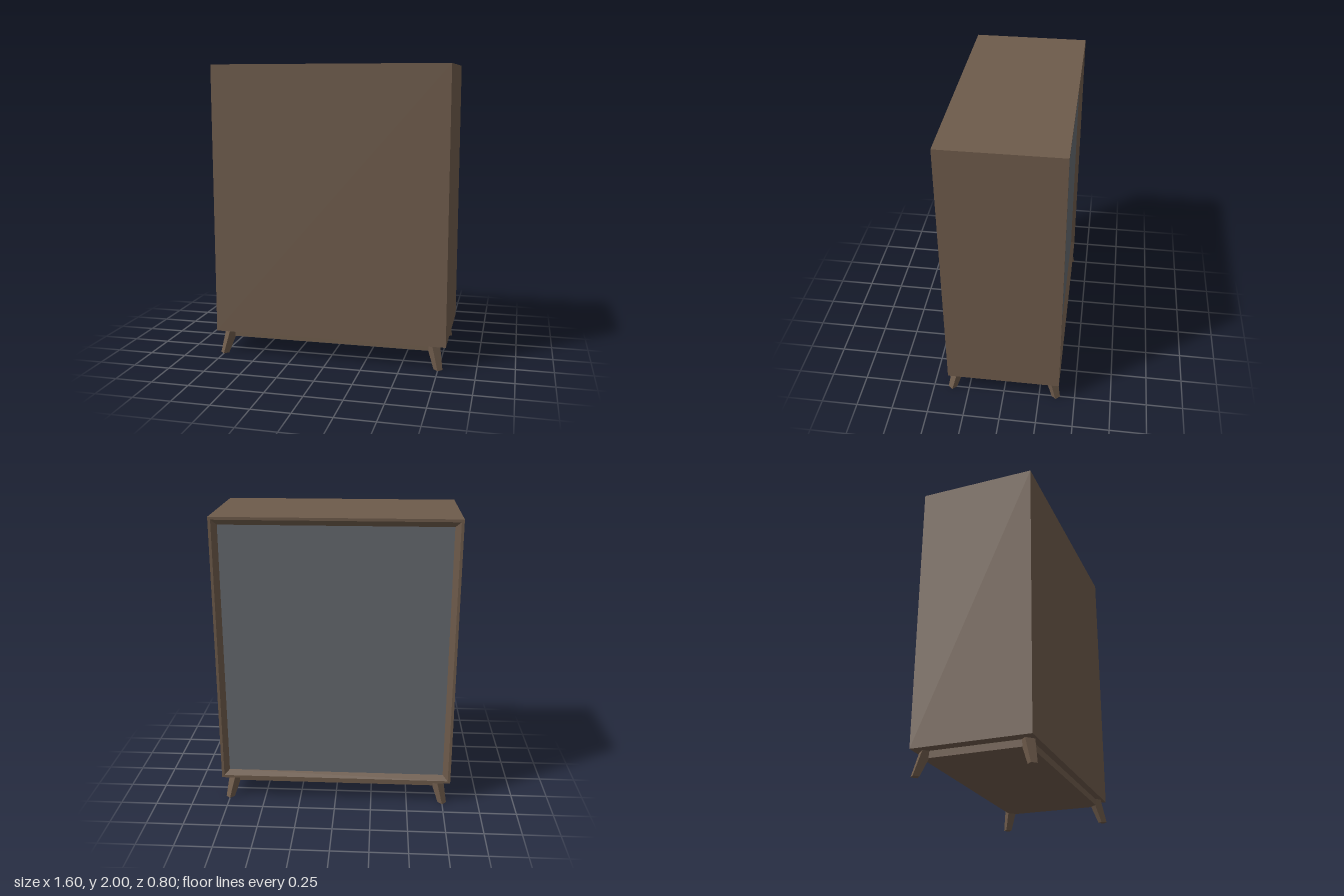
import * as THREE from 'three';

const wood = new THREE.MeshStandardMaterial({ color: 0x6e5b4b, flatShading: true });
wood.name = 'walnut wood';
const grey = new THREE.MeshStandardMaterial({ color: 0x65696e });
grey.name = 'grey back board';

const WIDTH = 1.6, BOTTOM = 0.16, HEIGHT = 1.84;
const FRONT = 0.386, BACK = -0.389;
const RIM = 0.018, BEVEL = 0.035, RECESS = 0.026;

function add(parent, name, geometry, material, x = 0, y = 0, z = 0) {
  const mesh = new THREE.Mesh(geometry, material);
  mesh.name = name;
  mesh.position.set(x, y, z);
  parent.add(mesh);
  return mesh;
}

// Skins a run of rectangles, each given as [inset, z], from front to back
function rectangleLoft(width, height, sections) {
  const loops = sections.map(([inset, z]) => {
    const x = width / 2 - inset, y = height / 2 - inset;
    return [[-x, -y, z], [x, -y, z], [x, y, z], [-x, y, z]];
  });
  const points = [];
  const quad = (a, b, c, d) => points.push(...a, ...b, ...c, ...a, ...c, ...d);
  quad(...loops[0]);
  for (let i = 0; i < loops.length - 1; i++) {
    for (let j = 0; j < 4; j++) {
      const k = (j + 1) % 4;
      quad(loops[i][j], loops[i + 1][j], loops[i + 1][k], loops[i][k]);
    }
  }
  const geometry = new THREE.BufferGeometry();
  geometry.setAttribute('position', new THREE.Float32BufferAttribute(points, 3));
  geometry.computeVertexNormals();
  return geometry;
}

// Tapered diamond leg, splayed outward towards its foot
function legGeometry(sx, sz) {
  const geometry = new THREE.CylinderGeometry(0.046, 0.03, BOTTOM, 4).toNonIndexed();
  const p = geometry.attributes.position;
  for (let i = 0; i < p.count; i++) {
    const drop = 0.5 - p.getY(i) / BOTTOM;
    p.setX(i, p.getX(i) + sx * 0.04 * drop);
    p.setZ(i, p.getZ(i) + sz * 0.043 * drop);
  }
  geometry.computeVertexNormals();
  return geometry;
}

export function createModel() {
  const model = new THREE.Group();
  model.name = 'cabinet';
  const middle = BOTTOM + HEIGHT / 2;

  // Cabinet body with a bevelled rim round the back
  add(model, 'cabinetBody', rectangleLoft(WIDTH, HEIGHT, [
    [0, FRONT], [0, BACK], [RIM, BACK], [RIM + BEVEL, BACK + RECESS],
  ]), wood, 0, middle, 0);

  // Recessed back board
  const inset = 2 * (RIM + BEVEL);
  const board = add(model, 'backBoard', new THREE.PlaneGeometry(WIDTH - inset, HEIGHT - inset),
    grey, 0, middle, BACK + RECESS);
  board.rotation.y = Math.PI;

  // Plinth under the body
  add(model, 'plinth', new THREE.BoxGeometry(1.45, 0.045, 0.68), wood, 0, BOTTOM - 0.0225, 0);

  // Four splayed legs
  for (const sx of [-1, 1]) {
    for (const sz of [-1, 1]) {
      const name = (sz > 0 ? 'front' : 'back') + (sx > 0 ? 'Left' : 'Right') + 'Leg';
      add(model, name, legGeometry(sx, sz), wood, sx * 0.71, BOTTOM / 2, sz * 0.325);
    }
  }
  return model;
}
